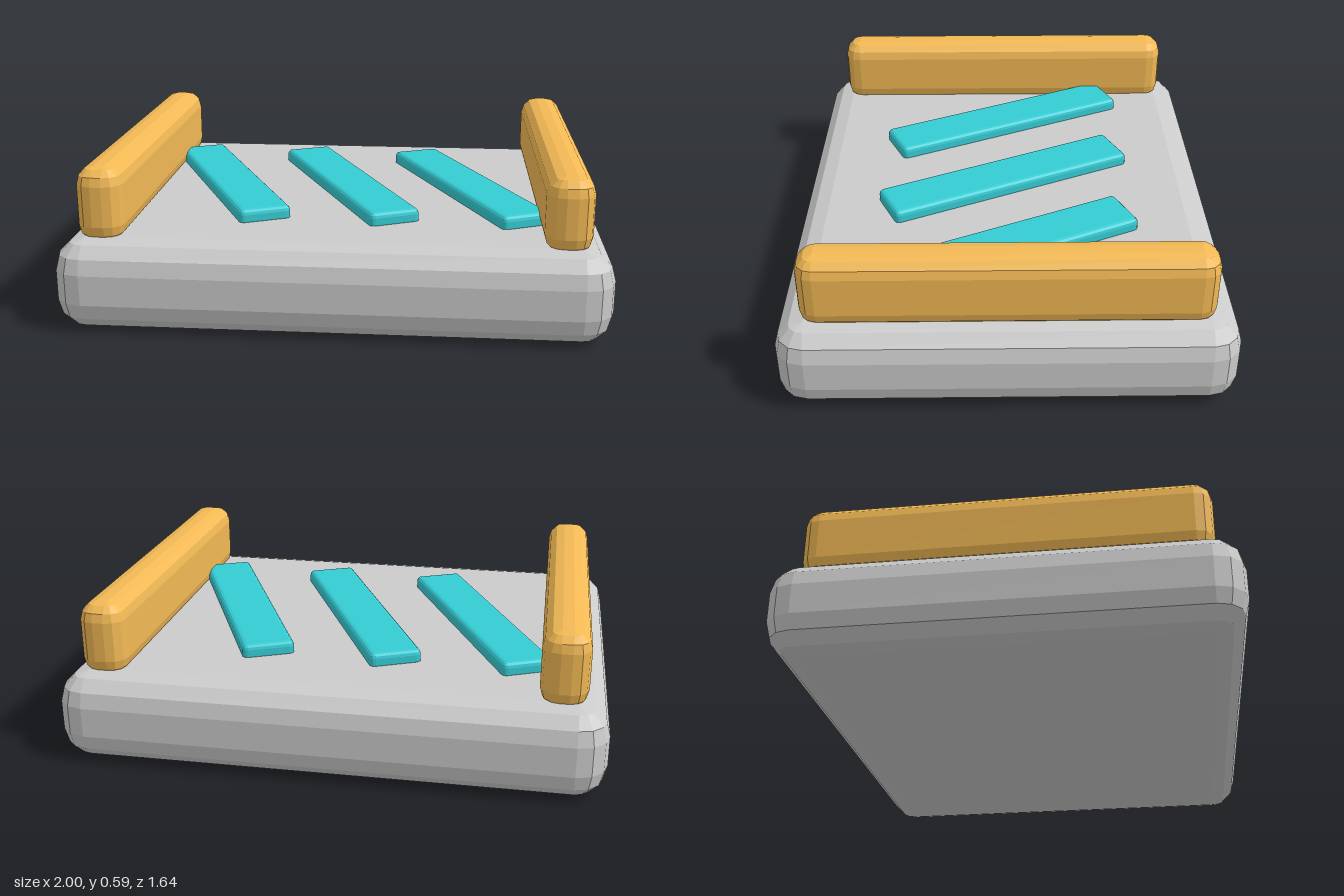
import * as THREE from 'three';

const STEPS = 3; // facets per rounded edge

// Box with evenly faceted round edges: a sphere grid whose rows and columns are
// remapped so the eight octants move out to the corners of the box.
function bevelledBox(w, h, d, r) {
  const perCorner = STEPS + 1;
  const cols = 4 * perCorner;
  const rows = 2 * perCorner + 1;
  const geo = new THREE.SphereGeometry(1, cols, rows);
  const pos = geo.attributes.position;
  const quarter = Math.PI / 2;
  const hx = w / 2 - r, hy = h / 2 - r, hz = d / 2 - r;
  for (let j = 0; j <= rows; j++) {
    for (let i = 0; i <= cols; i++) {
      const id = j * (cols + 1) + i;
      // First and last rows close the top and bottom faces
      if (j === 0 || j === rows) {
        pos.setXYZ(id, 0, j === 0 ? h / 2 : -h / 2, 0);
        continue;
      }
      const k = i % cols;
      const corner = Math.floor(k / perCorner);
      const a = (corner + (k % perCorner) / STEPS) * quarter;
      const upper = j <= perCorner;
      const lat = upper
        ? quarter * (1 - (j - 1) / STEPS)
        : -quarter * (j - 1 - perCorner) / STEPS;
      const sx = corner === 0 || corner === 3 ? 1 : -1;
      const sz = corner < 2 ? 1 : -1;
      pos.setXYZ(id,
        sx * hx + r * Math.cos(lat) * Math.cos(a),
        (upper ? hy : -hy) + r * Math.sin(lat),
        sz * hz + r * Math.cos(lat) * Math.sin(a));
    }
  }
  // The columns run the opposite way round to the sphere's, so flip the faces
  const idx = geo.index;
  for (let t = 0; t < idx.count; t += 3) {
    const b = idx.getX(t + 1);
    idx.setX(t + 1, idx.getX(t + 2));
    idx.setX(t + 2, b);
  }
  // The sphere's seam orientation is fixed by a signed-volume check
  let volume = 0;
  const p = [0, 1, 2].map(() => new THREE.Vector3());
  for (let t = 0; t < idx.count; t += 3) {
    p.forEach((v, n) => v.fromBufferAttribute(pos, idx.getX(t + n)));
    volume += p[0].dot(p[1].clone().cross(p[2]));
  }
  if (volume < 0) idx.array.reverse();
  const flat = geo.toNonIndexed();
  flat.computeVertexNormals();
  return flat;
}

export function createModel() {
  const group = new THREE.Group();
  const material = (color) => new THREE.MeshStandardMaterial({ color, flatShading: true });
  const grey = material(0xcccccc);
  const amber = material(0xf2b955);
  const teal = material(0x35ccd4);

  const add = (name, geometry, mat, x, y) => {
    const mesh = new THREE.Mesh(geometry, mat);
    mesh.name = name;
    mesh.position.set(x, y, 0);
    group.add(mesh);
    return mesh;
  };

  // Thick platform
  add('base', bevelledBox(2, 0.336, 1.64, 0.112), grey, 0, 0.168);

  // Side rails, sunk slightly into the platform
  const rail = bevelledBox(0.17, 0.28, 1.455, 0.065);
  add('leftRail', rail, amber, 0.835, 0.45);
  add('rightRail', rail, amber, -0.835, 0.45);

  // Three slanted strips across the deck
  const strip = bevelledBox(0.2, 0.065, 1.04, 0.02);
  for (let i = -1; i <= 1; i++) {
    add(`strip${i + 2}`, strip, teal, i * 0.487, 0.352).rotation.y = THREE.MathUtils.degToRad(25);
  }
  return group;
}
